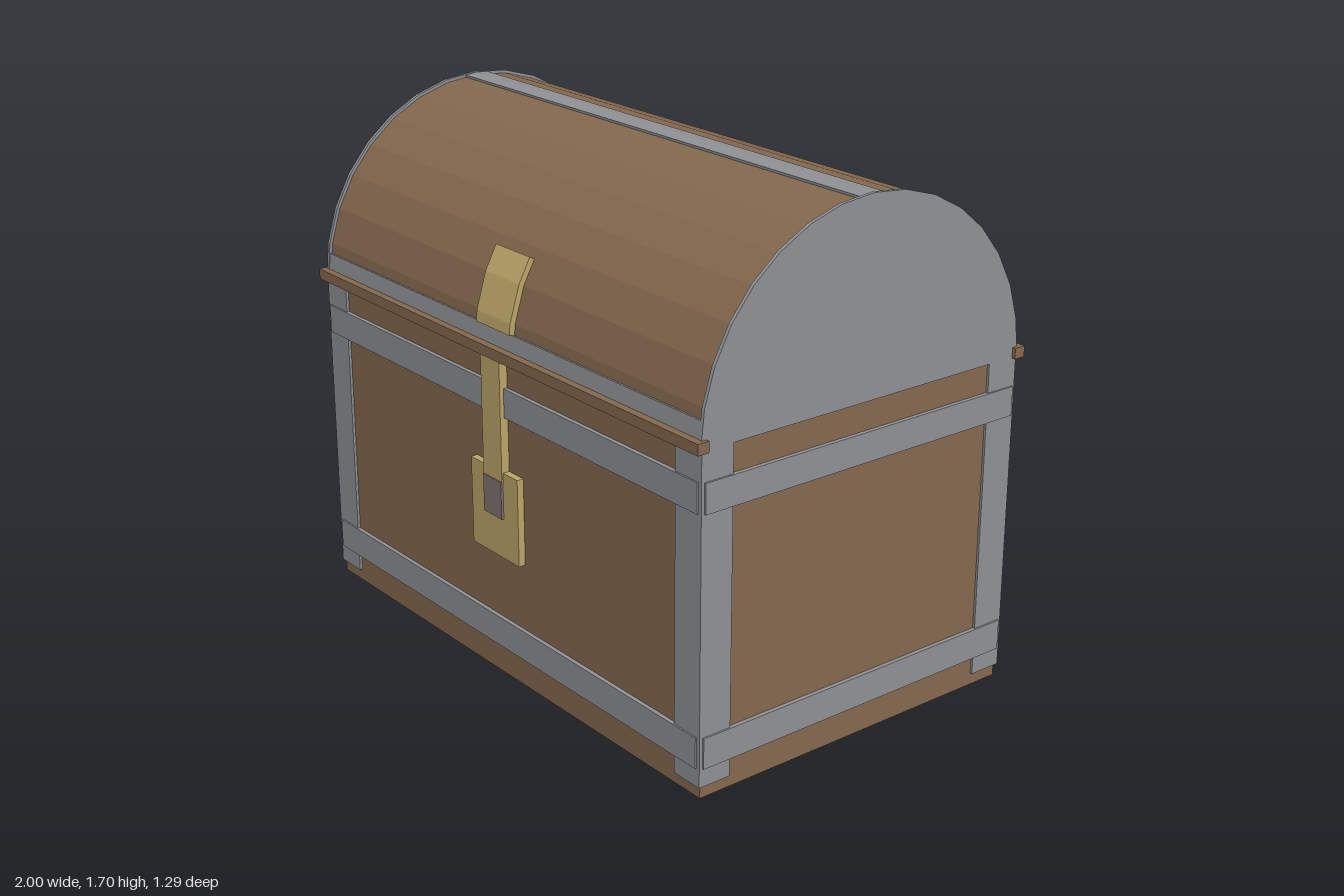
import * as THREE from 'three';

export function createModel() {
  const root = new THREE.Group();
  const mat = (name, color) => {
    const m = new THREE.MeshStandardMaterial({ color });
    m.name = name;
    return m;
  };
  const wood = mat('brown wood', 0x86694f);
  const iron = mat('grey iron', 0x909296);
  const gold = mat('pale brass', 0xbfa769);
  const dark = mat('keyhole grey', 0x827571);

  const chest = new THREE.Group();
  chest.name = 'chest';
  chest.position.z = 0.004;
  root.add(chest);

  const add = (name, geo, m) => {
    const mesh = new THREE.Mesh(geo, m);
    mesh.name = name;
    chest.add(mesh);
    return mesh;
  };
  // box given by its limits on each axis
  const box = (name, m, x0, x1, y0, y1, z0, z1) =>
    add(name, new THREE.BoxGeometry(x1 - x0, y1 - y0, z1 - z0), m)
      .position.set((x0 + x1) / 2, (y0 + y1) / 2, (z0 + z1) / 2);

  // the lid is half of a 32-sided barrel; angles run from front (0) to back (180)
  const LID_Y = 1.083, STEP = 180 / 16, rad = Math.PI / 180;
  const lidPoint = (deg, r) => {
    const local = (((deg % STEP) + STEP) % STEP) - STEP / 2;
    const rr = r * Math.cos((STEP / 2) * rad) / Math.cos(local * rad);
    return new THREE.Vector2(rr * Math.cos(deg * rad), LID_Y + rr * Math.sin(deg * rad));
  };
  const arc = (a0, a1, r) => {
    const angles = [a0];
    for (let i = 0; i <= 16; i++) if (i * STEP > a0 + 0.01 && i * STEP < a1 - 0.01) angles.push(i * STEP);
    angles.push(a1);
    return angles.map((a) => lidPoint(a, r));
  };
  const lidPiece = (name, m, a0, a1, rIn, rOut, x0, x1) => {
    const pts = arc(a0, a1, rOut);
    if (rIn > 0) pts.push(...arc(a0, a1, rIn).reverse());
    const geo = new THREE.ExtrudeGeometry(new THREE.Shape(pts), { depth: x1 - x0, bevelEnabled: false });
    geo.rotateY(-Math.PI / 2);
    geo.translate(x1, 0, 0);
    add(name, geo, m);
  };

  // wooden body and lid
  box('body', wood, -0.98, 0.98, 0, LID_Y, -0.607, 0.607);
  lidPiece('lid', wood, 0, 180, 0, 0.61, -0.98, 0.98);

  // iron on the lid: end plates, ridge strip, lower strips
  for (const s of [-1, 1]) {
    lidPiece('lidEndPlate', iron, 0, 180, 0, 0.62, s < 0 ? -0.988 : 0.976, s < 0 ? -0.976 : 0.988);
  }
  lidPiece('ridgeStrip', iron, 85.8, 94.2, 0.6, 0.618, -0.98, 0.98);
  lidPiece('frontLidStrip', iron, 0, 8, 0.6, 0.618, -0.98, 0.98);
  lidPiece('backLidStrip', iron, 172, 180, 0.6, 0.618, -0.98, 0.98);

  // corner columns
  for (const x of [-1, 1]) for (const z of [-1, 1]) {
    const xs = [x * 0.873, x * 0.988].sort((a, b) => a - b);
    const zs = [z * 0.502, z * 0.616].sort((a, b) => a - b);
    box('cornerColumn', iron, ...xs, 0.04, LID_Y, ...zs);
  }

  // horizontal bands and wooden rims
  for (const s of [-1, 1]) {
    for (const [y0, y1] of [[0.1, 0.2], [0.895, 0.99]]) {
      const zs = [s * 0.6, s * 0.621].sort((a, b) => a - b);
      const xs = [s * 0.97, s * 0.994].sort((a, b) => a - b);
      box('longBand', iron, -0.975, 0.975, y0, y1, ...zs);
      box('sideBand', iron, ...xs, y0, y1, -0.605, 0.605);
    }
    const rim = [s * 0.6, s * 0.64].sort((a, b) => a - b);
    box('rim', wood, -1, 1, 1.08, 1.115, ...rim);
  }

  // clasp
  lidPiece('claspPlate', gold, 8, 30.5, 0.6, 0.629, -0.088, 0.088);
  box('claspStrap', gold, -0.05, 0.05, 0.68, 1.082, 0.605, 0.635);
  box('lockPlate', gold, -0.125, 0.125, 0.425, 0.715, 0.605, 0.63);
  box('keyhole', dark, -0.048, 0.048, 0.56, 0.685, 0.628, 0.638);

  // hinges on the back
  for (const x of [-0.705, 0.705]) {
    lidPiece('hingeUpperLeaf', iron, 144, 177, 0.6, 0.626, x - 0.098, x + 0.098);
    box('hingeLowerLeaf', iron, x - 0.098, x + 0.098, 0.79, 1.07, -0.63, -0.6);
    const barrel = new THREE.CylinderGeometry(0.038, 0.038, 0.235, 12);
    barrel.rotateZ(Math.PI / 2);
    add('hingeBarrel', barrel, iron).position.set(x, 1.08, -0.611);
  }
  return root;
}
